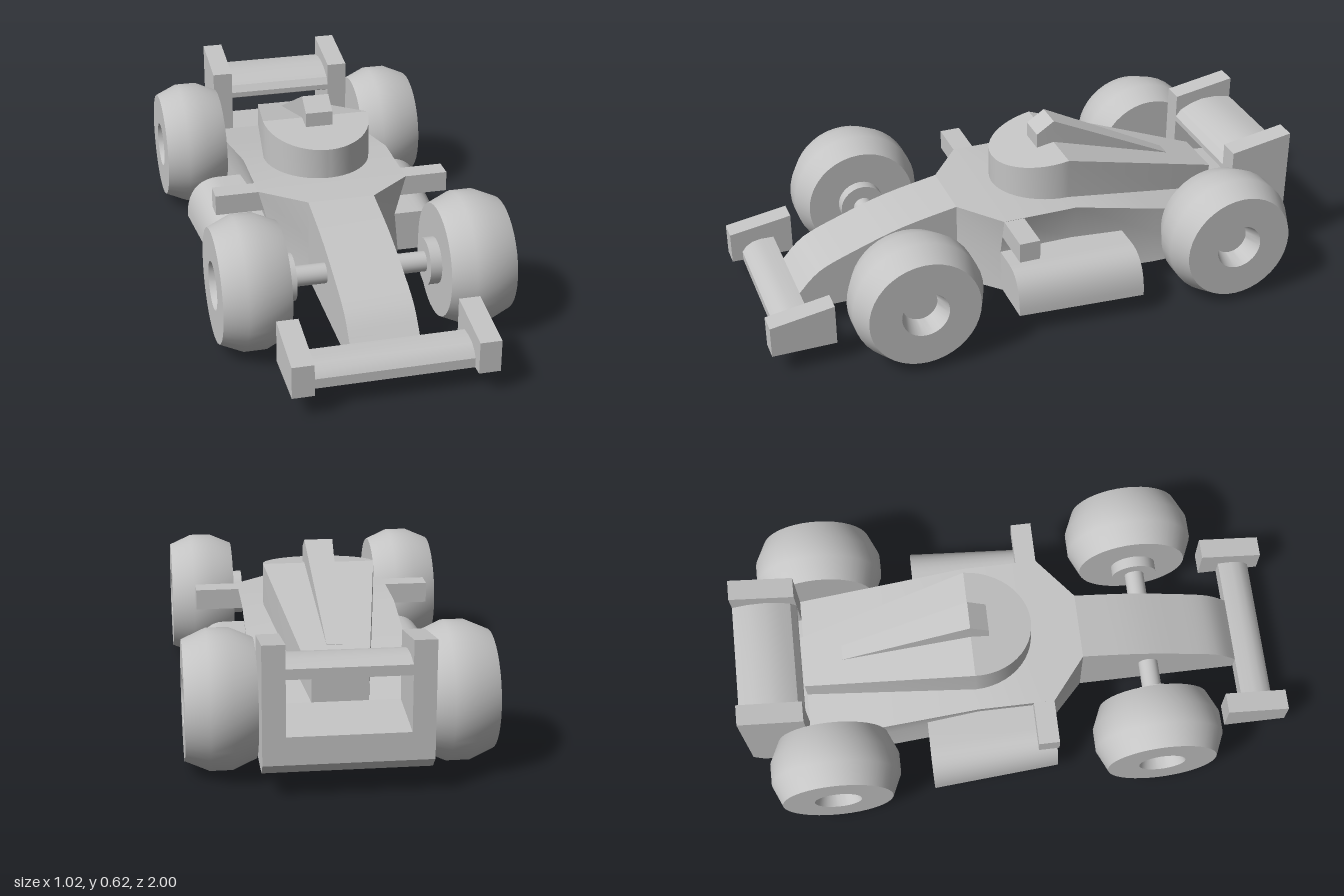
import * as THREE from 'three';
import { toCreasedNormals } from 'three/addons/utils/BufferGeometryUtils.js';

const grey = new THREE.MeshStandardMaterial({ color: 0xc4c4c4 });
grey.name = 'light grey';

// Symmetric solid from cross-sections [z, [[x, y], ...]] listed front to back;
// each section gives its right half from bottom to top.
function loft(sections) {
  const rings = sections.map(([z, half]) =>
    [...half, ...half.map(([x, y]) => [-x, y]).reverse()].map(([x, y]) => new THREE.Vector3(x, y, z)));
  const n = rings[0].length, verts = [];
  for (let s = 0; s < rings.length - 1; s++) {
    for (let i = 0; i < n; i++) {
      const j = (i + 1) % n;
      const a = rings[s][i], b = rings[s][j], c = rings[s + 1][j], d = rings[s + 1][i];
      verts.push(a, d, b, b, d, c);
    }
  }
  const cap = (ring, flip) => {
    const flat = ring.map(p => new THREE.Vector2(p.x, p.y));
    for (const [a, b, c] of THREE.ShapeUtils.triangulateShape(flat, [])) {
      verts.push(ring[a], ring[flip ? c : b], ring[flip ? b : c]);
    }
  };
  cap(rings[0], false);
  cap(rings[rings.length - 1], true);
  return toCreasedNormals(new THREE.BufferGeometry().setFromPoints(verts), 0.42);
}

// Section of a plain block: half width, bottom, top
const block = (z, w, y0, y1) => [z, [[w, y0], [w, y1]]];

export function createModel() {
  const model = new THREE.Group();
  model.name = 'raceCar';
  const add = (name, geometry, x = 0, y = 0, z = 0) => {
    const mesh = new THREE.Mesh(geometry, grey);
    mesh.name = name;
    mesh.position.set(x, y, z);
    model.add(mesh);
    return mesh;
  };

  // Nose, with a convex upper curve
  const noseCurve = new THREE.SplineCurve([
    [0.84, 0.155], [0.76, 0.232], [0.62, 0.29], [0.45, 0.345], [0.25, 0.385],
  ].map(p => new THREE.Vector2(...p)));
  add('nose', loft(noseCurve.getPoints(16).map(p => block(p.x, 0.12, 0.08, p.y))));

  // Main body: flared shoulders, undercut flanks, deck falling to the rear
  const hull = (z, low, waist, top, yWaist, yTop) => [z, [[low, 0.08], [waist, yWaist], [top, yTop]]];
  add('body', loft([
    hull(0.25, 0.12, 0.12, 0.12, 0.235, 0.385),
    hull(0.125, 0.25, 0.235, 0.275, 0.235, 0.385),
    hull(-0.15, 0.25, 0.235, 0.275, 0.235, 0.385),
    hull(-0.47, 0.275, 0.265, 0.275, 0.2, 0.31),
    hull(-0.77, 0.275, 0.275, 0.275, 0.16, 0.24),
  ]));

  // Cockpit and engine cover: rounded front, tapering tail
  const cover = [];
  for (let i = 0; i <= 12; i++) {
    const t = 0.03 + (i / 12) * (Math.PI / 2 - 0.03);
    const u = 1 - Math.cos(t);
    cover.push(block(-0.15 + 0.222 * Math.cos(t), 0.198 * Math.sin(t), 0.3, 0.497 + 0.038 * u));
  }
  cover.push(block(-0.77, 0.095, 0.2, 0.335));
  add('engineCover', loft(cover));

  // Air intake with its spine running back
  add('airIntake', loft([
    block(-0.085, 0.05, 0.4, 0.577),
    block(-0.15, 0.05, 0.4, 0.62),
    block(-0.62, 0.027, 0.3, 0.385),
  ]));

  // Front wing
  add('frontWing', loft([
    block(0.96, 0.28, 0.08, 0.115), block(0.945, 0.28, 0.08, 0.135),
    block(0.92, 0.28, 0.08, 0.15), block(0.89, 0.28, 0.08, 0.156),
    block(0.84, 0.28, 0.08, 0.155),
  ]));

  // Rear floor and wing between the end plates
  add('rearFloor', loft([
    block(-0.77, 0.21, 0.08, 0.24), block(-0.96, 0.21, 0.08, 0.22), block(-1, 0.21, 0.12, 0.215),
  ]));
  add('rearWing', loft([
    block(-0.77, 0.21, 0.375, 0.395), block(-0.79, 0.21, 0.365, 0.42),
    block(-0.83, 0.21, 0.362, 0.44), block(-0.88, 0.21, 0.37, 0.453),
    block(-0.94, 0.21, 0.385, 0.453), block(-1, 0.21, 0.405, 0.44),
  ]));

  // Side pod cross-section with a rounded outer shoulder
  const podShape = new THREE.Shape();
  podShape.moveTo(0.2, 0.083);
  podShape.lineTo(0.465, 0.083);
  podShape.bezierCurveTo(0.465, 0.18, 0.42, 0.235, 0.34, 0.235);
  podShape.lineTo(0.2, 0.235);
  podShape.closePath();
  const podBase = new THREE.ExtrudeGeometry(podShape, { depth: 0.465, bevelEnabled: false, curveSegments: 10 });
  podBase.translate(0, 0, -0.34);
  const podPos = podBase.attributes.position;
  for (let i = 0; i < podPos.count; i++) {
    const x = podPos.getX(i);
    if (podPos.getZ(i) > 0 && x > 0.27) podPos.setX(i, 0.27 + (x - 0.27) * 0.82);
  }
  const podGeo = toCreasedNormals(podBase, 0.5);

  // Wheel with chamfered tread and recessed hub, outer face towards +x
  const wheelProfile = [
    [0, 0.275], [0.2, 0.275], [0.235, 0.355], [0.235, 0.43], [0.2, 0.51],
    [0.085, 0.51], [0.063, 0.44], [0, 0.44],
  ].map(p => new THREE.Vector2(...p));
  const wheelGeo = toCreasedNormals(new THREE.LatheGeometry(wheelProfile, 40).rotateZ(-Math.PI / 2), 0.6);
  const rod = (r, len) => new THREE.CylinderGeometry(r, r, len, 28).rotateZ(Math.PI / 2);

  const frontPlate = loft([block(1, 0.0375, 0.08, 0.195), block(0.77, 0.0375, 0.08, 0.232)]);
  const rearPlate = loft([
    block(-0.77, 0.0375, 0.08, 0.48), block(-0.96, 0.0375, 0.08, 0.513), block(-1, 0.0375, 0.12, 0.52),
  ]);

  // Mirrored parts
  for (const [side, s] of [['left', 1], ['right', -1]]) {
    add(side + 'FrontEndPlate', frontPlate, s * 0.3125);
    add(side + 'RearEndPlate', rearPlate, s * 0.2375);
    add(side + 'Mirror', new THREE.BoxGeometry(0.18, 0.074, 0.075), s * 0.34, 0.347, 0.0875);
    add(side + 'Axle', rod(0.036, 0.15), s * 0.18, 0.237, 0.5);
    add(side + 'BrakeDisc', rod(0.083, 0.045), s * 0.2575, 0.237, 0.5);

    const pod = podGeo.clone();
    if (s < 0) {
      // Mirror the vertices and restore the corner order
      pod.scale(-1, 1, 1);
      for (const key of ['position', 'normal']) {
        const at = pod.attributes[key], v = new THREE.Vector3(), w = new THREE.Vector3();
        for (let i = 0; i < at.count; i += 3) {
          v.fromBufferAttribute(at, i + 1);
          w.fromBufferAttribute(at, i + 2);
          at.setXYZ(i + 1, w.x, w.y, w.z);
          at.setXYZ(i + 2, v.x, v.y, v.z);
        }
      }
    }
    add(side + 'SidePod', pod);

    for (const [end, z] of [['Front', 0.495], ['Rear', -0.69]]) {
      const wheel = add(side + end + 'Wheel', wheelGeo, 0, 0.235, z);
      if (s < 0) wheel.rotation.y = Math.PI;
    }
  }
  return model;
}
